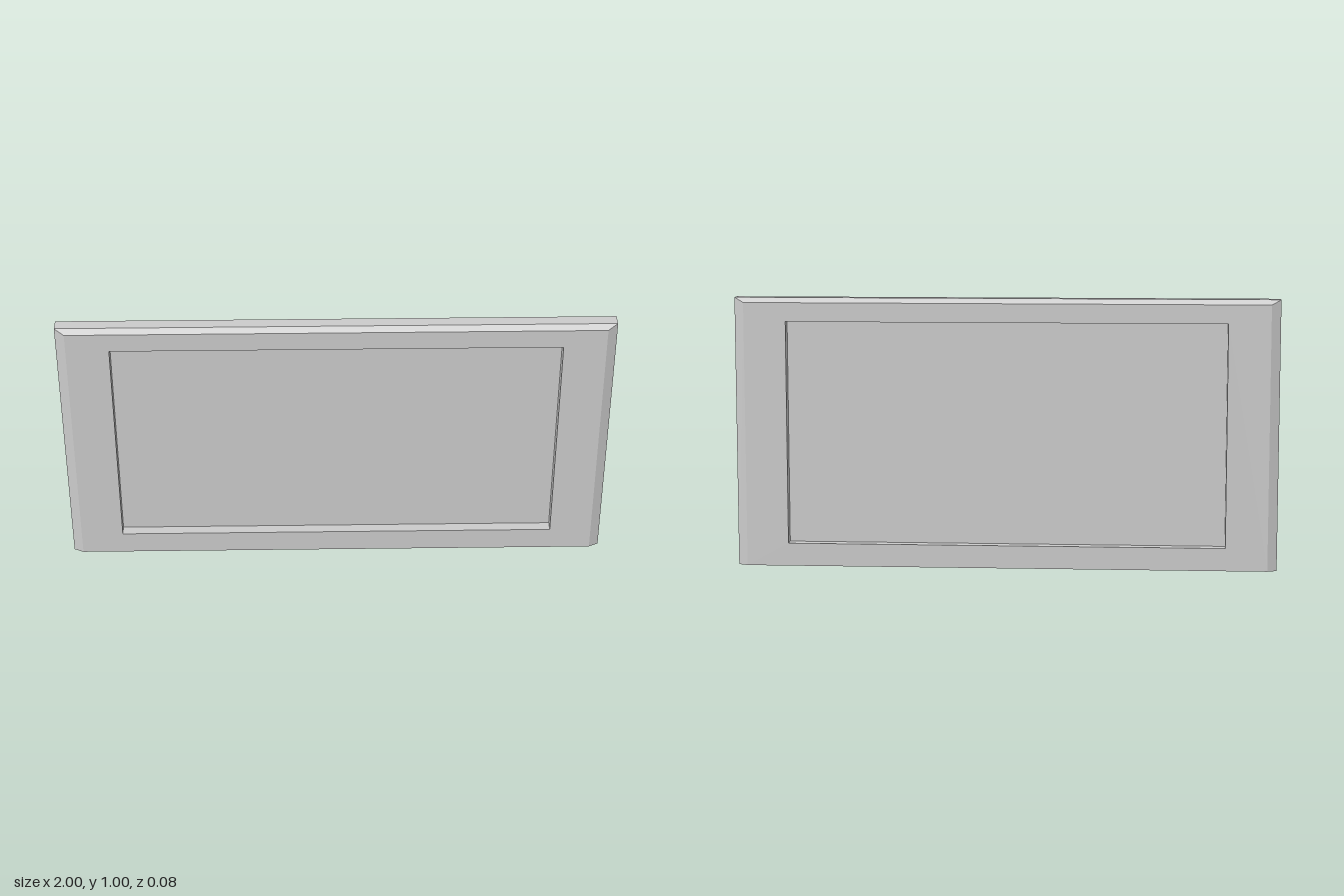
import * as THREE from 'three';

// Depths of the slab: face plane and start of the chamfer
const FACE = 0.041, EDGE = 0.024;

// Outlines, open at the bottom (left, top, right)
const outer = [[-1, 0], [-1, 1], [1, 1], [1, 0]];
const inner = [[-0.965, 0], [-0.965, 0.982], [0.965, 0.982], [0.965, 0]];
// Closed, counter-clockwise window outline
const windowLoop = [[-0.81, 0.085], [0.81, 0.085], [0.81, 0.912], [-0.81, 0.912], [-0.81, 0.085]];

// Flat quads joining outline a at depth za to outline b at depth zb
function strip(a, za, b, zb) {
  const v = [];
  for (let i = 0; i < a.length - 1; i++) {
    const a0 = [...a[i], za], a1 = [...a[i + 1], za];
    const b0 = [...b[i], zb], b1 = [...b[i + 1], zb];
    v.push(...a0, ...b0, ...b1, ...a0, ...b1, ...a1);
  }
  const g = new THREE.BufferGeometry();
  g.setAttribute('position', new THREE.Float32BufferAttribute(v, 3));
  g.computeVertexNormals();
  return g;
}

export function createModel() {
  const group = new THREE.Group();
  const grey = new THREE.MeshStandardMaterial({ color: 0xcccccc, side: THREE.DoubleSide });
  grey.name = 'light grey';

  const add = (name, geometry) => {
    const mesh = new THREE.Mesh(geometry, grey);
    mesh.name = name;
    group.add(mesh);
    return mesh;
  };

  // Front and back faces with the window cut out
  const toPoints = (list) => list.map(([x, y]) => new THREE.Vector2(x, y));
  const faceShape = new THREE.Shape(toPoints(inner));
  faceShape.holes.push(new THREE.Path(toPoints(windowLoop.slice(0, 4))));
  const faceGeometry = new THREE.ShapeGeometry(faceShape);
  add('frontFace', faceGeometry).position.z = FACE;
  const back = add('backFace', faceGeometry);
  back.position.z = -FACE;
  back.rotation.y = Math.PI;

  // Outer rim: flat sides and top, chamfered towards both faces
  add('rim', strip(outer, -EDGE, outer, EDGE));
  add('frontChamfer', strip(outer, EDGE, inner, FACE));
  add('backChamfer', strip(inner, -FACE, outer, -EDGE));

  // Window lining through the hollow frame
  add('windowLining', strip(windowLoop, -FACE, windowLoop, FACE));

  // Thin panel held in the middle, reaching down to the open bottom
  const panel = add('panel', new THREE.PlaneGeometry(1.65, 0.93));
  panel.position.y = 0.465;

  return group;
}
